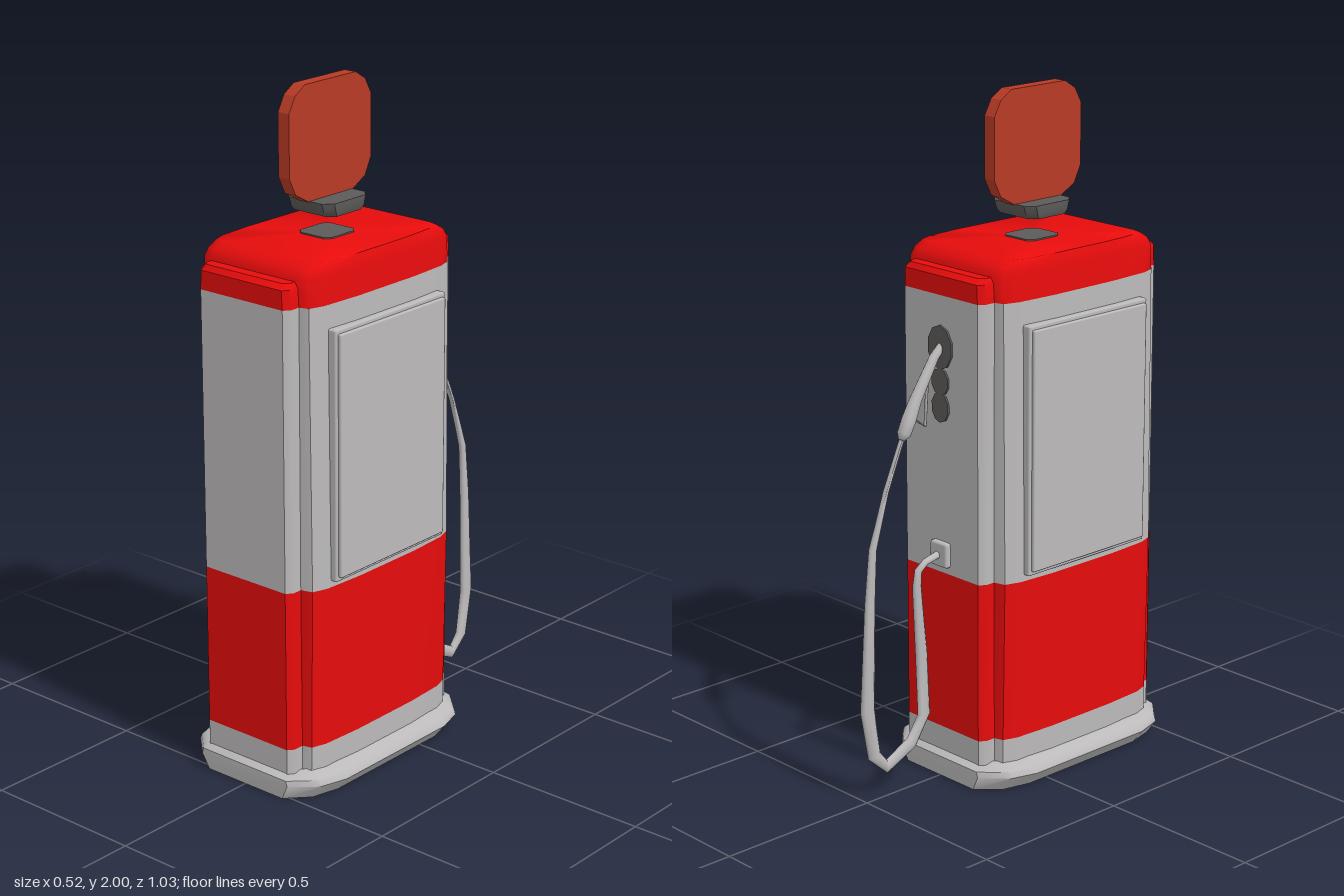
import * as THREE from 'three';
import { toCreasedNormals } from 'three/addons/utils/BufferGeometryUtils.js';
import { RoundedBoxGeometry } from 'three/addons/geometries/RoundedBoxGeometry.js';

const CZ = 0.15; // middle of the cabinet in z

// Skin through closed rings of points; optional caps on the last and first ring
function loft(rings, capEnd = false, capStart = false, crease = 0.7) {
  const pos = [];
  const tri = (...p) => p.forEach(v => pos.push(v.x, v.y, v.z));
  const n = rings[0].length;
  for (let r = 0; r < rings.length - 1; r++) {
    for (let i = 0; i < n; i++) {
      const j = (i + 1) % n;
      const a = rings[r][i], b = rings[r][j], c = rings[r + 1][j], d = rings[r + 1][i];
      tri(a, b, c);
      tri(a, c, d);
    }
  }
  const cap = (ring, flip) => {
    const mid = ring.reduce((s, p) => s.add(p), new THREE.Vector3()).divideScalar(n);
    ring.forEach((p, i) => {
      const q = ring[(i + 1) % n];
      if (flip) tri(q, p, mid); else tri(p, q, mid);
    });
  };
  if (capEnd) cap(rings[rings.length - 1], false);
  if (capStart) cap(rings[0], true);
  const g = new THREE.BufferGeometry();
  g.setAttribute('position', new THREE.Float32BufferAttribute(pos, 3));
  return toCreasedNormals(g, crease);
}

// Full outline from its front right quarter, listed from front to side
function mirrorQuarter(q) {
  const back = q.map(([x, z]) => [x, -z]).reverse();
  const right = [...q, ...back];
  return [...right, ...right.map(([x, z]) => [-x, z]).reverse()];
}

const level = (outline, y, sx = 1, sz = 1) =>
  outline.map(([x, z]) => new THREE.Vector3(x * sx, y, CZ + z * sz));

// Flattened tube in the x = 0 plane; path entries are [z, y, half depth, half width]
function hoseTube(path, sides = 10) {
  const rings = path.map(([z, y, r, w], i) => {
    const a = path[Math.max(i - 1, 0)], b = path[Math.min(i + 1, path.length - 1)];
    const t = new THREE.Vector2(b[0] - a[0], b[1] - a[1]).normalize();
    return Array.from({ length: sides }, (_, k) => {
      const f = k / sides * Math.PI * 2;
      return new THREE.Vector3(Math.cos(f) * w, y + Math.sin(f) * r * t.x, z - Math.sin(f) * r * t.y);
    });
  });
  return loft(rings, true, true, 1.1);
}

export function createModel() {
  const model = new THREE.Group();
  model.name = 'fuelPump';
  const mat = (name, color) => {
    const m = new THREE.MeshStandardMaterial({ color, side: THREE.DoubleSide });
    m.name = name;
    return m;
  };
  const red = mat('red paint', 0xe80c0c);
  const grey = mat('light grey metal', 0xbcbaba);
  const dark = mat('dark grey metal', 0x5c5b59);
  const rust = mat('brick red sign', 0xb83a25);
  const add = (name, geo, material, x = 0, y = 0, z = 0) => {
    const m = new THREE.Mesh(geo, material);
    m.name = name;
    m.position.set(x, y, z);
    model.add(m);
    return m;
  };

  // Plinth: hollow octagonal ring with a sloped lower edge
  const foot = mirrorQuarter([[0.165, 0.37], [0.235, 0.305], [0.26, 0.22]]);
  add('plinth', loft([
    level(foot, 0.06, 0.72, 0.84), level(foot, 0.0, 0.72, 0.84), level(foot, 0, 0.86, 0.99),
    level(foot, 0.045, 1, 1), level(foot, 0.062, 0.97, 1), level(foot, 0.072, 0.92, 0.97),
    level(foot, 0.08, 0.8, 0.94)]), grey);

  // Cabinet core, in painted bands
  const core = mirrorQuarter([[0.165, 0.305], [0.2, 0.295], [0.215, 0.25], [0.223, 0.12]]);
  const bands = [
    ['lowerBand', grey, 0.06, 0.15, 0.96, 0.965],
    ['redSkirt', red, 0.15, 0.63, 0.965, 1],
    ['upperCabinet', grey, 0.63, 1.45, 1, 0.965],
  ];
  for (const [name, m, y0, y1, s0, s1] of bands)
    add(name, loft([level(core, y0, s0), level(core, y1, s1)]), m);
  add('roof', loft([
    level(core, 1.45, 0.965), level(core, 1.525, 0.945), level(core, 1.548, 0.935, 0.95),
    level(core, 1.565, 0.91, 0.86)], true, false, 1.2), red);

  // Raised panels on the front and the back, in the same bands
  const panel = [[-0.165, 0.29], [-0.165, 0.335], [-0.15, 0.353], [0.15, 0.353], [0.165, 0.335], [0.165, 0.29]];
  for (const [end, turn] of [['front', 1], ['back', -1]]) {
    const at = (y, sx = 1, sz = 1) => level(panel, y, turn * sx, turn * sz);
    for (const [name, m, y0, y1] of bands)
      add(`${end}Panel_${name}`, loft([at(y0), at(y1)]), m);
    add(`${end}PanelCap`, loft([at(1.45), at(1.505, 0.98), at(1.52, 0.93, 0.96)], true), red);
  }

  // Display plates on both sides, each with a slightly smaller raised face
  for (const s of [1, -1]) {
    const side = s > 0 ? 'left' : 'right';
    add(`${side}DisplayFrame`, new RoundedBoxGeometry(0.05, 0.735, 0.47, 1, 0.006), grey, s * 0.21, 1.015, CZ);
    add(`${side}DisplayFace`, new RoundedBoxGeometry(0.03, 0.71, 0.45, 1, 0.005), grey, s * 0.23, 1.015, CZ);
  }

  // Sign on its floating dark foot
  const pad = mirrorQuarter([[0.06, 0.09], [0.085, 0.065]]);
  add('signFoot', loft([level(pad, 1.632, 0.94, 0.78), level(pad, 1.645, 1, 0.9), level(pad, 1.672)], true, true), dark);
  add('roofPatch', loft([level(pad, 1.562, 0.7, 0.7), level(pad, 1.569, 0.7, 0.7)], true), dark);
  const disc = new THREE.Shape([
    [-0.105, 2], [-0.145, 1.975], [-0.17, 1.93], [-0.17, 1.75], [-0.145, 1.7], [-0.085, 1.667],
    [0.085, 1.667], [0.145, 1.7], [0.17, 1.75], [0.17, 1.93], [0.145, 1.975], [0.105, 2],
  ].map(([x, y]) => new THREE.Vector2(x, y)));
  const sign = new THREE.ExtrudeGeometry(disc, { depth: 0.04, bevelEnabled: false });
  sign.translate(0, 0, -0.02);
  add('sign', sign, rust, -0.005, 0, CZ).rotation.y = Math.PI / 2;

  // Nozzle rest: dark oval plates on the back panel
  for (const [y, rx, ry] of [[1.3, 0.05, 0.065], [1.2, 0.035, 0.04], [1.125, 0.035, 0.045]]) {
    const oval = new THREE.CylinderGeometry(1, 1, 0.008, 10);
    oval.rotateX(Math.PI / 2);
    oval.scale(rx, ry, 1);
    add('nozzleRest', oval, dark, 0, y, -0.205);
  }

  // Nozzle with collar and trigger guard
  add('nozzle', hoseTube([
    [-0.2, 1.305, 0.012, 0.012], [-0.23, 1.275, 0.015, 0.013], [-0.3, 1.165, 0.02, 0.016],
    [-0.325, 1.115, 0.022, 0.021], [-0.345, 1.075, 0.02, 0.02], [-0.355, 1.06, 0.008, 0.01]]), grey);
  const guard = [[-0.255, 1.22], [-0.265, 1.08], [-0.31, 1.115]].map(([z, y]) => [z, y, 0.004, 0.006]);
  add('triggerGuard', hoseTube(guard, 6), grey);

  // Hanging hose and its wall socket
  add('hose', hoseTube([
    [-0.34, 1.08, 0.007, 0.008], [-0.41, 0.92, 0.007, 0.009], [-0.462, 0.76, 0.013, 0.01],
    [-0.475, 0.6, 0.018, 0.011], [-0.49, 0.28, 0.025, 0.011], [-0.467, 0.135, 0.022, 0.011],
    [-0.42, 0.088, 0.02, 0.011], [-0.325, 0.135, 0.022, 0.011], [-0.275, 0.21, 0.022, 0.011],
    [-0.283, 0.4, 0.021, 0.011], [-0.298, 0.61, 0.015, 0.011], [-0.292, 0.655, 0.011, 0.011],
    [-0.265, 0.675, 0.01, 0.011], [-0.21, 0.688, 0.011, 0.012]]), grey, 0.004);
  add('hoseSocket', new RoundedBoxGeometry(0.07, 0.075, 0.03, 1, 0.008), grey, 0, 0.688, -0.205);

  return model;
}
